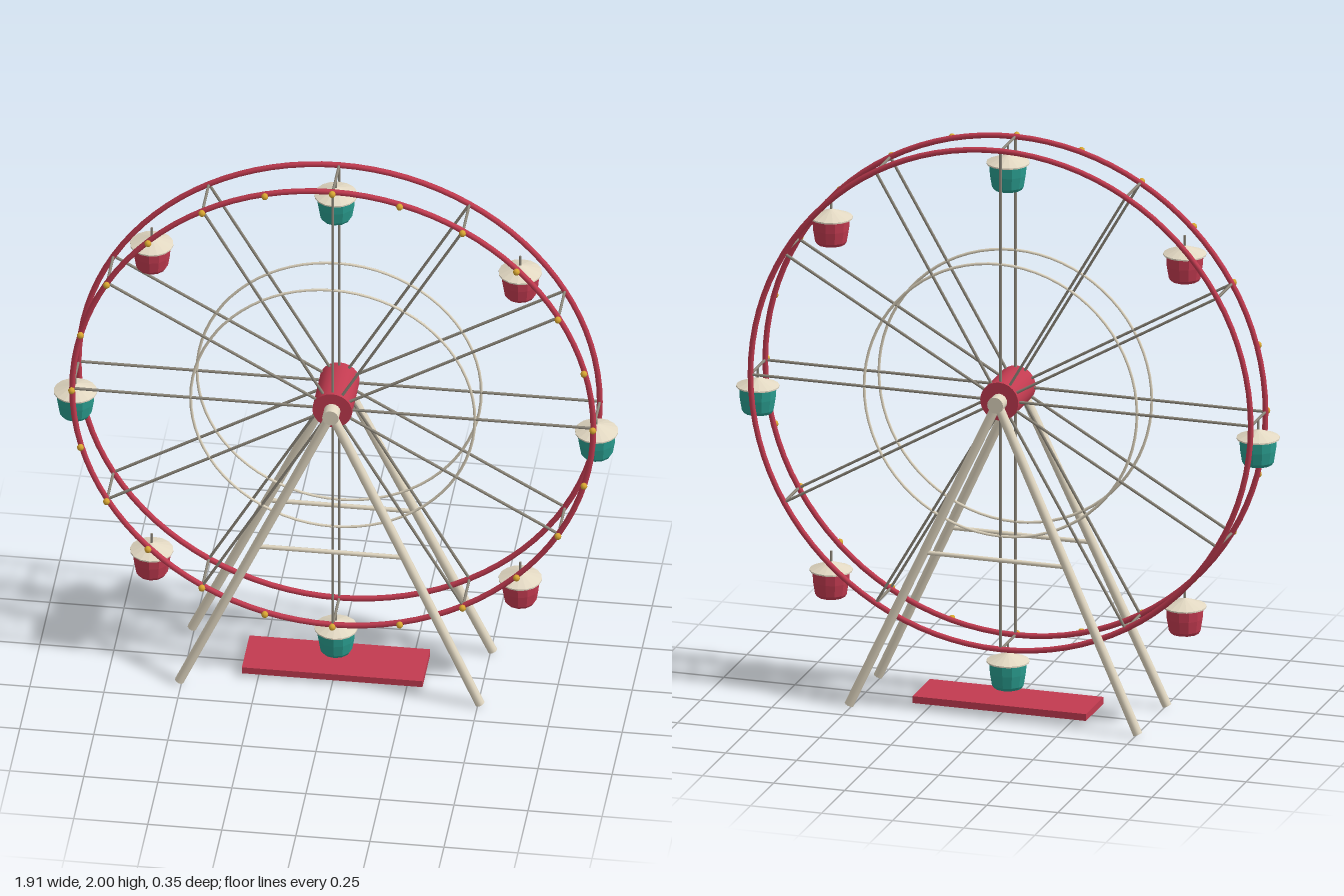
import * as THREE from 'three';

const mat = (color, flatShading = false) =>
  new THREE.MeshStandardMaterial({ color, flatShading });
const red = mat(0xc23b50), cream = mat(0xe2d8c2), steel = mat(0x8f897c), gold = mat(0xd9a732);
const redCar = mat(0xc23b50, true), tealCar = mat(0x2a9d8f, true), roofCream = mat(0xe2d8c2, true);

const HUB_Y = 1.11, RIM = 0.88, SIDE_Z = 0.08;
const V = (x, y, z) => new THREE.Vector3(x, y, z);

function add(parent, name, geometry, material, pos = V(0, 0, 0)) {
  const mesh = new THREE.Mesh(geometry, material);
  mesh.name = name;
  mesh.position.copy(pos);
  parent.add(mesh);
  return mesh;
}

// Round bar between two points
function bar(parent, name, a, b, radius, material, sides = 8) {
  const dir = b.clone().sub(a);
  const mesh = add(parent, name, new THREE.CylinderGeometry(radius, radius, dir.length(), sides),
    material, a.clone().add(b).multiplyScalar(0.5));
  mesh.quaternion.setFromUnitVectors(V(0, 1, 0), dir.normalize());
  return mesh;
}

const onWheel = (angle, radius, z) => V(Math.cos(angle) * radius, Math.sin(angle) * radius, z);

function createWheel() {
  const wheel = new THREE.Group();
  wheel.name = 'wheel';
  wheel.position.y = HUB_Y;

  // Rims, inner rings and spokes on both sides
  for (const z of [SIDE_Z, -SIDE_Z]) {
    add(wheel, 'rim', new THREE.TorusGeometry(RIM, 0.01, 8, 96), red, V(0, 0, z));
    add(wheel, 'innerRing', new THREE.TorusGeometry(0.48, 0.005, 6, 72), cream, V(0, 0, z));
    for (let i = 0; i < 12; i++) {
      bar(wheel, 'spoke', V(0, 0, z), onWheel(i * Math.PI / 6, RIM, z), 0.005, steel, 6);
    }
  }
  // Struts joining the two rims
  for (let i = 0; i < 12; i++) {
    const a = i * Math.PI / 6;
    bar(wheel, 'rimStrut', onWheel(a, RIM, -SIDE_Z), onWheel(a, RIM, SIDE_Z), 0.005, steel, 6);
  }
  // Lamps along the front rim
  const lamp = new THREE.SphereGeometry(0.012, 8, 6);
  for (let i = 0; i < 24; i++) add(wheel, 'lamp', lamp, gold, onWheel(i * Math.PI / 12, RIM, 0.095));

  // Hub and axle
  bar(wheel, 'hub', V(0, 0, -0.095), V(0, 0, 0.095), 0.067, red, 24);
  bar(wheel, 'axle', V(0, 0, -0.14), V(0, 0, 0.14), 0.028, cream, 16);
  return wheel;
}

// Hanging cabin, origin at its pivot
const cabinProfile = [[0, -0.158], [0.048, -0.158], [0.055, -0.147], [0.062, -0.105], [0.064, -0.066]]
  .map(([r, y]) => new THREE.Vector2(r, y));
const roofProfile = [[0, -0.068], [0.073, -0.068], [0.073, -0.063], [0, -0.035]]
  .map(([r, y]) => new THREE.Vector2(r, y));
const cabinBody = new THREE.LatheGeometry(cabinProfile, 12);
const cabinRoof = new THREE.LatheGeometry(roofProfile, 16);

function createCabin(material) {
  const cabin = new THREE.Group();
  cabin.name = 'cabin';
  add(cabin, 'cabinBody', cabinBody, material);
  add(cabin, 'cabinRoof', cabinRoof, roofCream);
  bar(cabin, 'hanger', V(0, -0.06, 0), V(0, 0, 0), 0.004, steel, 6);
  return cabin;
}

function createSupports() {
  const supports = new THREE.Group();
  supports.name = 'supports';
  for (const s of [1, -1]) {
    // A-frame legs
    for (const x of [0.508, -0.508]) {
      bar(supports, 'leg', V(x, 0.008, s * 0.158), V(0, HUB_Y, s * 0.115), 0.016, cream, 10);
    }
    // Cross brace
    bar(supports, 'crossBrace', V(-0.25, 0.565, s * 0.137), V(0.25, 0.565, s * 0.137), 0.008, cream);
  }
  return supports;
}

export function createModel() {
  const model = new THREE.Group();
  model.name = 'ferrisWheel';
  model.add(createWheel(), createSupports());

  // Eight cabins, alternating colours
  for (let i = 0; i < 8; i++) {
    const cabin = createCabin(i % 2 ? redCar : tealCar);
    cabin.position.copy(onWheel(i * Math.PI / 4, RIM, 0));
    cabin.position.y += HUB_Y;
    model.add(cabin);
  }
  // Boarding platform
  add(model, 'platform', new THREE.BoxGeometry(0.61, 0.024, 0.19), red, V(0, 0.026, 0));
  return model;
}
